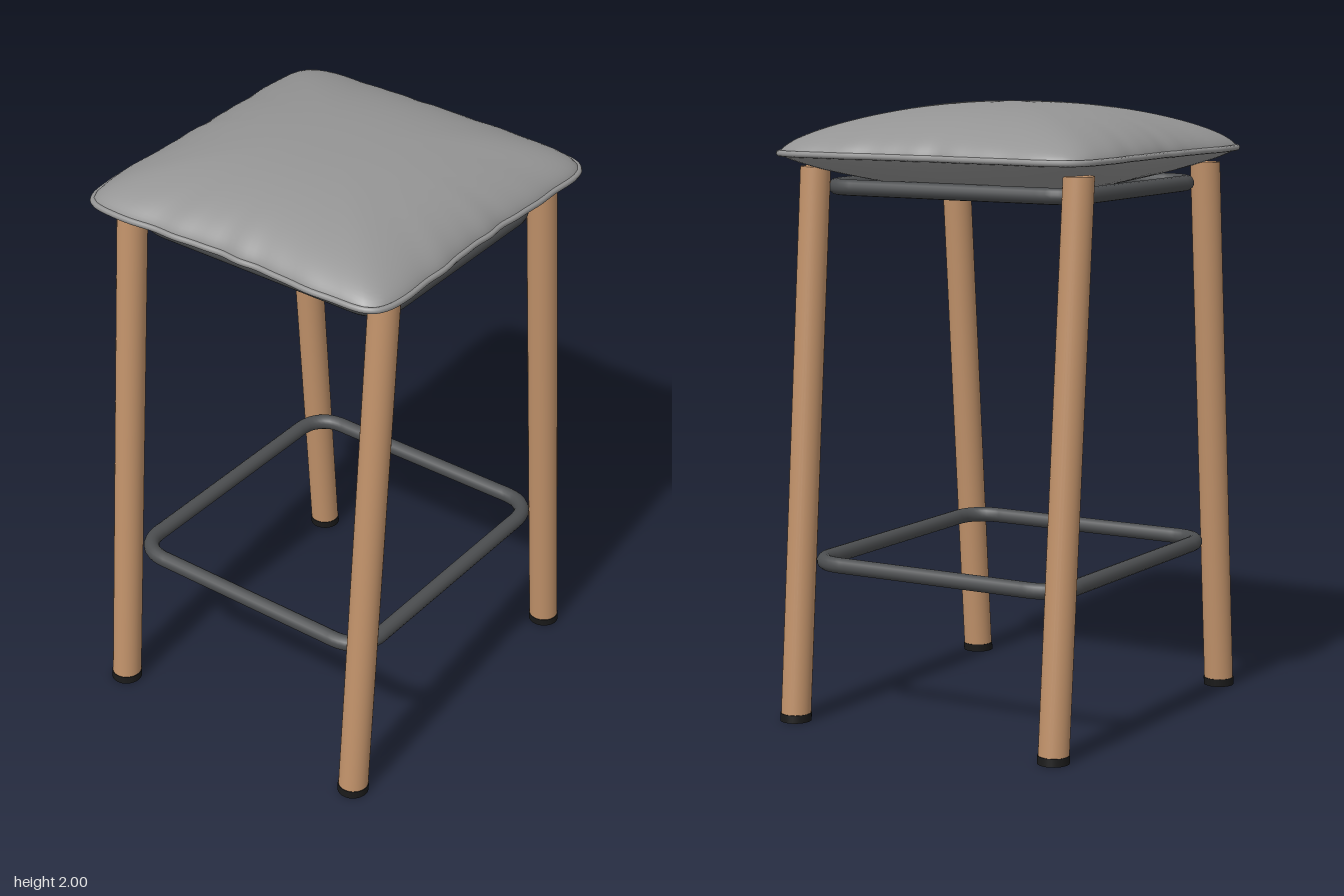
import * as THREE from 'three';

const mat = (name, color) => Object.assign(new THREE.MeshStandardMaterial({ color }), { name });

// Pinched, slightly wavy rounded-square outline, blended to a circle near the middle
function outlineRadius(a, s, n, wave) {
  const c = Math.abs(Math.cos(a)), d = Math.abs(Math.sin(a));
  const square = Math.pow(c ** n + d ** n, -1 / n);
  const pinch = 1 - 0.028 * wave * Math.cos(2 * a) ** 2;
  const ripple = wave * 0.004 * (Math.sin(17 * a) + 0.7 * Math.sin(29 * a + 1));
  const mix = s * s;
  return (1 - mix) + mix * (square * pinch + ripple);
}

// Domed sheet made of concentric loops; height(s) runs from the centre (0) to the rim (1)
function dome(halfX, halfZ, n, wave, height, up) {
  const rings = 28, segs = 144, pos = [], idx = [];
  for (let i = 0; i <= rings; i++) {
    const s = Math.sin((i / rings) * Math.PI / 2);
    for (let j = 0; j < segs; j++) {
      const a = (j / segs) * Math.PI * 2, r = s * outlineRadius(a, s, n, wave);
      pos.push(halfX * r * Math.cos(a), height(Math.min(s, 1)), halfZ * r * Math.sin(a));
      if (i === rings) continue;
      const k = (j + 1) % segs;
      const p = i * segs + j, q = p + segs, u = i * segs + k, v = u + segs;
      if (up) idx.push(p, u, q, q, u, v);
      else idx.push(p, q, u, q, v, u);
    }
  }
  const g = new THREE.BufferGeometry();
  g.setAttribute('position', new THREE.Float32BufferAttribute(pos, 3));
  g.setIndex(idx);
  g.computeVertexNormals();
  return g;
}

// Closed tube bent into a rounded rectangle
function tubeFrame(hx, hz, r, radius) {
  const s = new THREE.Shape();
  s.absarc(hx - r, hz - r, r, 0, Math.PI / 2);
  s.absarc(-hx + r, hz - r, r, Math.PI / 2, Math.PI);
  s.absarc(-hx + r, -hz + r, r, Math.PI, Math.PI * 1.5);
  s.absarc(hx - r, -hz + r, r, Math.PI * 1.5, Math.PI * 2);
  s.closePath();
  const pts = s.getSpacedPoints(96).slice(0, -1).map(p => new THREE.Vector3(p.x, 0, p.y));
  return new THREE.TubeGeometry(new THREE.CatmullRomCurve3(pts, true), 192, radius, 14, true);
}

export function createModel() {
  const model = new THREE.Group();
  model.name = 'stool';
  const fabric = mat('grey fabric', 0x949494);
  const wood = mat('wood', 0xc1926a);
  const metal = mat('dark metal', 0x4c4e50);
  const panel = mat('dark panel', 0x4a4a4a);
  const rubber = mat('black rubber', 0x1a1a1a);

  const add = (name, geometry, material, parent = model) => {
    const m = new THREE.Mesh(geometry, material);
    m.name = name;
    parent.add(m);
    return m;
  };

  // Cushion: domed top, shallower underside, piping around the seam
  const cushion = new THREE.Group();
  cushion.name = 'cushion';
  model.add(cushion);
  const half = 0.573, seamY = 1.842;
  add('cushionTop', dome(half, half, 12, 1,
    s => seamY + 0.158 * Math.pow(1 - s ** 2.5, 0.6), true), fabric, cushion);
  add('cushionUnderside', dome(half, half, 12, 1,
    s => seamY - 0.135 * Math.pow(1 - s ** 2.2, 0.7), false), fabric, cushion);
  const seam = [];
  for (let j = 0; j < 144; j++) {
    const a = (j / 144) * Math.PI * 2, r = half * outlineRadius(a, 1, 12, 1);
    seam.push(new THREE.Vector3(r * Math.cos(a), seamY, r * Math.sin(a)));
  }
  add('piping', new THREE.TubeGeometry(new THREE.CatmullRomCurve3(seam, true), 288, 0.01, 8, true),
    fabric, cushion);

  // Seat support: tube frame with a sagging panel inside
  add('seatFrame', tubeFrame(0.405, 0.46, 0.09, 0.026), metal).position.y = 1.731;
  add('seatPanel', dome(0.405, 0.46, 9, 0, s => 1.73 - 0.054 * (1 - s * s), false), panel);

  // Footrest
  add('footrest', tubeFrame(0.497, 0.462, 0.1, 0.026), metal).position.y = 0.516;

  // Legs lean inward along x, each with a rubber foot
  const lean = new THREE.Matrix4().set(1, -0.081, 0, 0, 0, 1, 0, 0, 0, 0, 1, 0, 0, 0, 0, 1);
  const post = (radius, y0, y1) =>
    new THREE.CylinderGeometry(radius, radius, y1 - y0, 32).translate(0, (y0 + y1) / 2, 0).applyMatrix4(lean);
  for (const sx of [1, -1]) {
    for (const sz of [1, -1]) {
      const leg = new THREE.Group();
      leg.name = (sz > 0 ? 'front' : 'back') + (sx > 0 ? 'Left' : 'Right') + 'Leg';
      leg.position.set(sx * 0.566, 0, sz * 0.486);
      if (sx < 0) leg.rotation.y = Math.PI;
      add('legPost', post(0.049, 0.025, 1.797), wood, leg);
      add('foot', post(0.051, 0, 0.026), rubber, leg);
      model.add(leg);
    }
  }
  return model;
}
